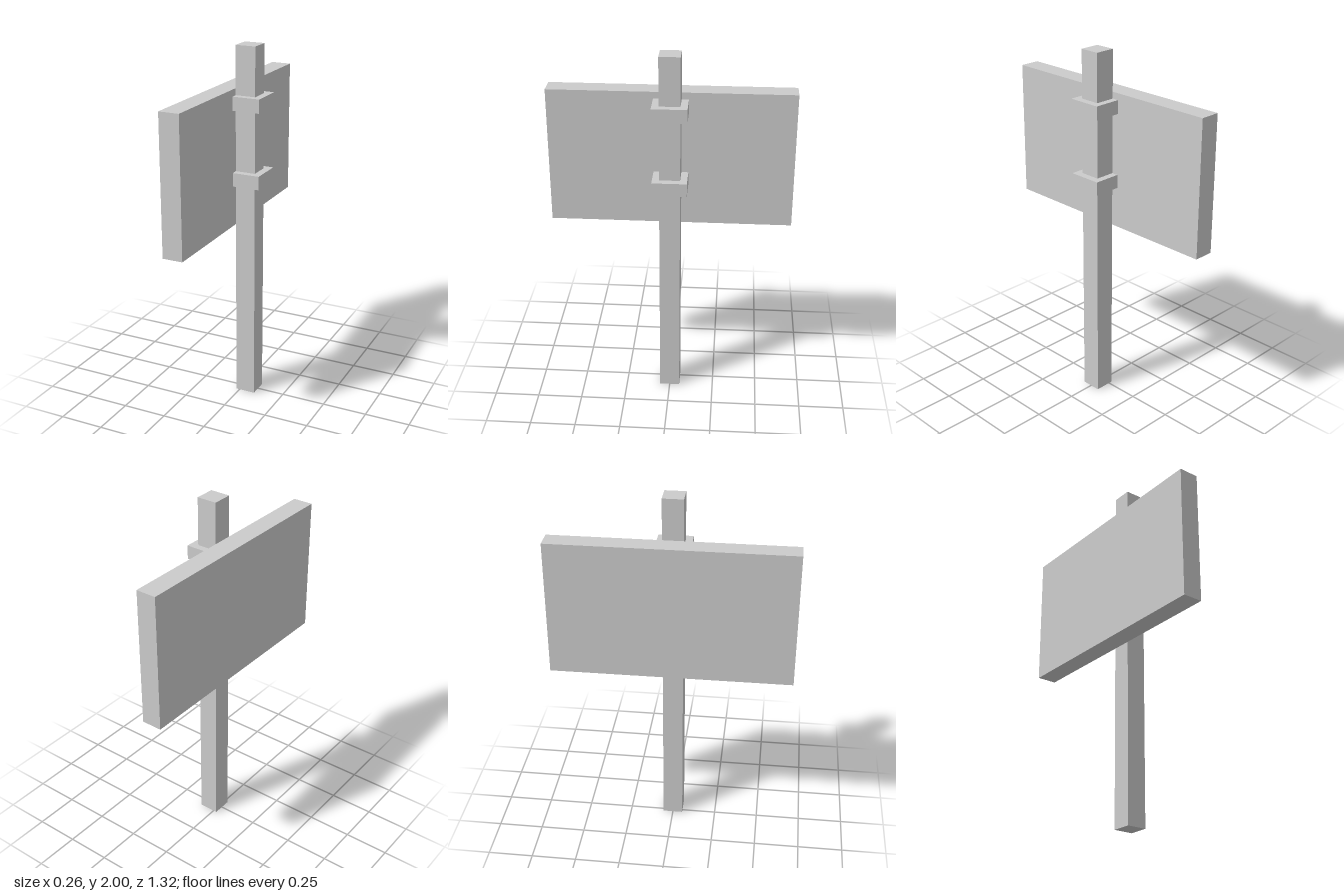
import * as THREE from 'three';

export function createModel() {
  const group = new THREE.Group();
  const material = new THREE.MeshStandardMaterial({ color: 0xcccccc, flatShading: true });

  // Box spanning x0..x1 and y0..y1, centred on z
  function addBox(name, x0, x1, y0, y1, depth) {
    const mesh = new THREE.Mesh(new THREE.BoxGeometry(x1 - x0, y1 - y0, depth), material);
    mesh.position.set((x0 + x1) / 2, (y0 + y1) / 2, 0);
    mesh.name = name;
    group.add(mesh);
  }

  const boardFace = -0.02; // plane where the board meets the post

  // Upright post
  addBox('post', boardFace, 0.092, 0, 2, 0.112);

  // Sign board mounted on the post's right side
  addBox('signBoard', -0.132, boardFace, 1.022, 1.775, 1.318);

  // Clamps wrapping the post and holding the board
  addBox('upperClamp', boardFace, 0.132, 1.663, 1.738, 0.187);
  addBox('lowerClamp', boardFace, 0.132, 1.249, 1.324, 0.187);

  return group;
}
